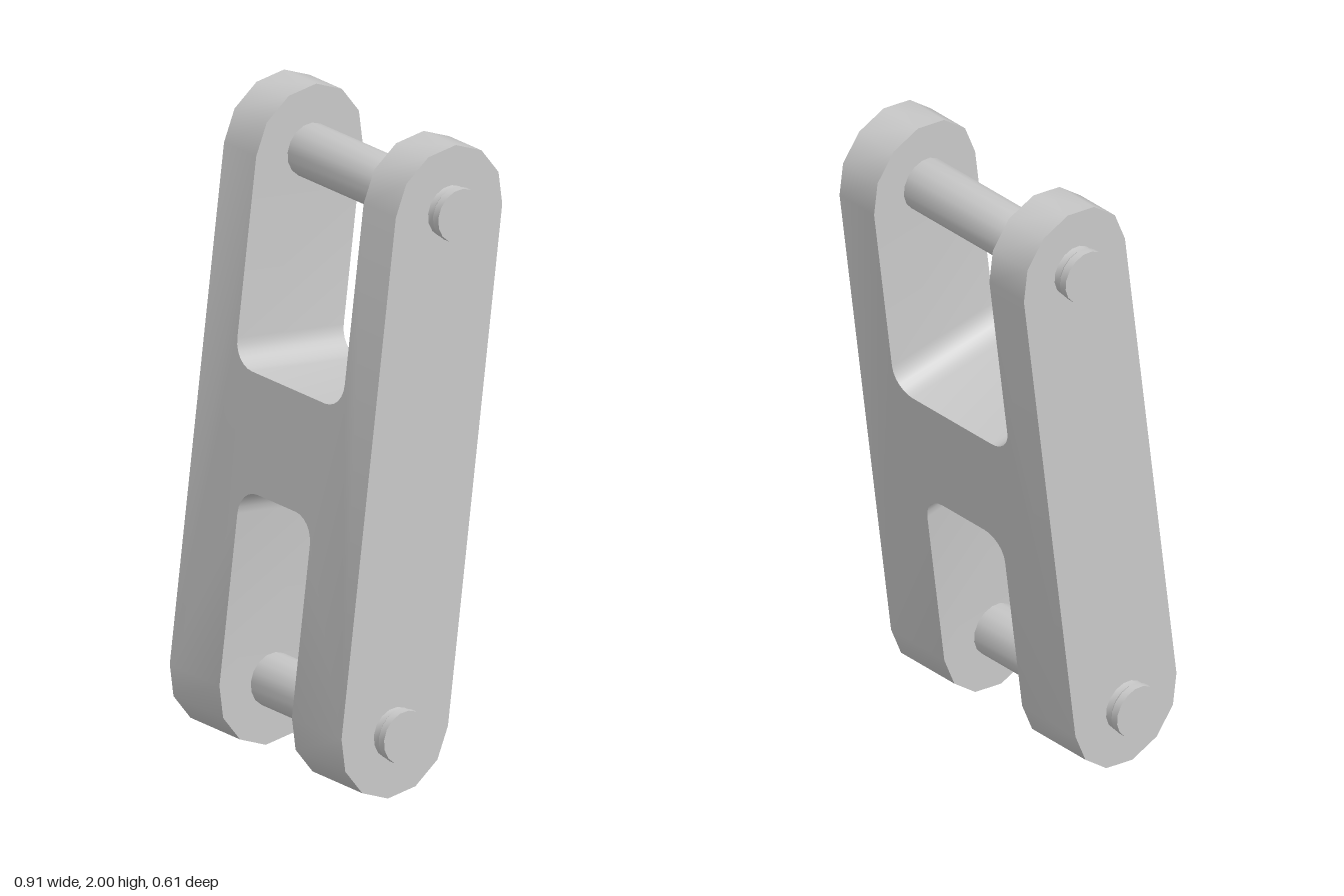
import * as THREE from 'three';
import { mergeGeometries, toCreasedNormals } from 'three/addons/utils/BufferGeometryUtils.js';

const TILT = 0.128;      // lean of the whole link
const H = 0.804;         // pin distance from the centre
const R = 0.203;         // half thickness and end radius
const OUTER = 0.403;     // half width of the body
const UPPER = 0.252;     // half width of the upper slot
const LOWER = 0.17;      // half width of the lower slot

// H-shaped body between the two pin axes, with filleted slots
function bodyGeometry() {
  const s = new THREE.Shape();
  const q = Math.PI / 2, f = 0.08;
  const top = -0.192 - f, floor = 0.165 + f;
  s.moveTo(-OUTER, -H);
  s.lineTo(-LOWER, -H);
  s.lineTo(-LOWER, top);
  s.absarc(-LOWER + f, top, f, 2 * q, q, true);
  s.absarc(LOWER - f, top, f, q, 0, true);
  s.lineTo(LOWER, -H);
  s.lineTo(OUTER, -H);
  s.lineTo(OUTER, H);
  s.lineTo(UPPER, H);
  s.absarc(UPPER - f, floor, f, 0, -q, true);
  s.absarc(-UPPER + f, floor, f, -q, -2 * q, true);
  s.lineTo(-UPPER, H);
  s.lineTo(-OUTER, H);
  const g = new THREE.ExtrudeGeometry(s, { depth: 2 * R, bevelEnabled: false, curveSegments: 3 });
  return g.translate(0, 0, -R);
}

// Faceted half-round end of one fork arm; dir is +1 for top, -1 for bottom
function armEnd(x0, x1, dir) {
  const pts = [];
  for (let i = 0; i <= 6; i++) {
    const a = (i / 6) * Math.PI;
    pts.push(new THREE.Vector2(R * Math.cos(a), dir * (H + R * Math.sin(a))));
  }
  const g = new THREE.ExtrudeGeometry(new THREE.Shape(pts), { depth: x1 - x0, bevelEnabled: false });
  return g.rotateY(Math.PI / 2).translate(x0, 0, 0);
}

// Pin with a shallow neck beside each head
function pinGeometry() {
  const half = [[0, 0.455], [0.083, 0.455], [0.083, 0.43], [0.079, 0.425], [0.079, 0.405], [0.083, 0.39]];
  const profile = [
    ...half.map(([r, y]) => new THREE.Vector2(r, -y)),
    ...half.slice().reverse().map(([r, y]) => new THREE.Vector2(r, y)),
  ];
  const g = new THREE.LatheGeometry(profile, 16).rotateZ(Math.PI / 2);
  return toCreasedNormals(g, 0.6);
}

export function createModel() {
  const group = new THREE.Group();
  group.name = 'forkedLink';
  const steel = new THREE.MeshStandardMaterial({ color: 0xc8c8c8 });
  steel.name = 'grey steel';

  // Link body with four rounded arm ends
  const parts = [
    bodyGeometry(),
    armEnd(UPPER, OUTER, 1), armEnd(-OUTER, -UPPER, 1),
    armEnd(LOWER, OUTER, -1), armEnd(-OUTER, -LOWER, -1),
  ];
  const link = new THREE.Mesh(toCreasedNormals(mergeGeometries(parts), 0.6), steel);
  link.name = 'linkBody';
  group.add(link);

  // Cross pins
  const pinGeo = pinGeometry();
  for (const [name, y] of [['upperPin', H], ['lowerPin', -H]]) {
    const pin = new THREE.Mesh(pinGeo, steel);
    pin.name = name;
    pin.position.y = y;
    group.add(pin);
  }

  group.rotation.x = -TILT;
  group.position.y = 1;
  const root = new THREE.Group();
  root.name = 'clevisLink';
  root.add(group);
  return root;
}
